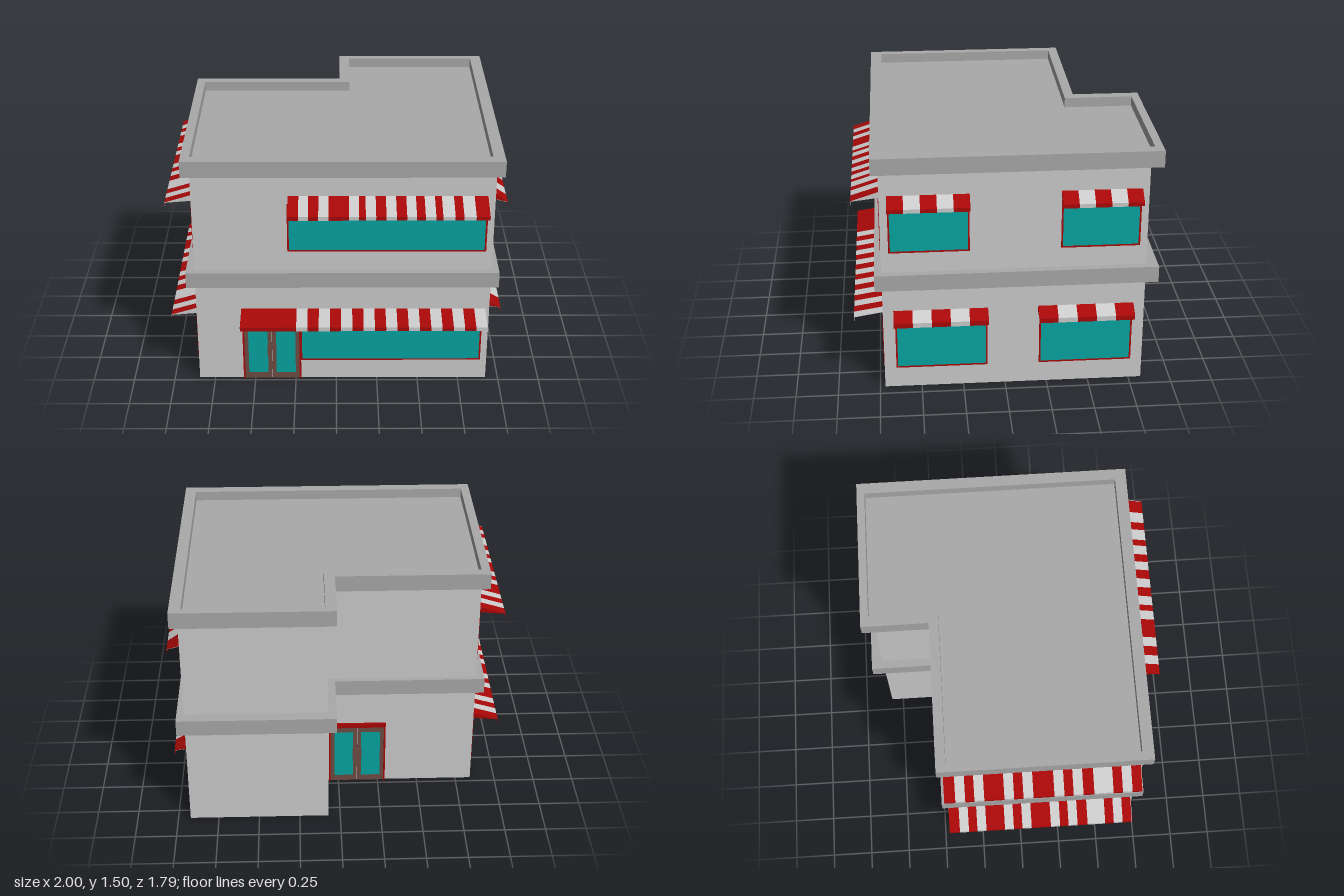
import * as THREE from 'three';
import { mergeGeometries } from 'three/addons/utils/BufferGeometryUtils.js';

const mat = (color, side = THREE.FrontSide) => new THREE.MeshStandardMaterial({ color, side });
const GREY = mat(0xcccccc);
const WALL = mat(0xcccccc, THREE.DoubleSide);
const STONE = mat(0xa9a9a9);
const RED = mat(0xa90808);
const GLASS = mat(0x06a5a2);
const BROWN = mat(0x6e4c44);

// Wall footprint, counter-clockwise seen from above, as [x, z]
const FOOTPRINT = [[-0.846, 0.72], [0.924, 0.72], [0.924, -0.826], [0.072, -0.826], [0.072, -0.463], [-0.846, -0.463]];
const CORNICE = [[-0.896, 0.762], [0.968, 0.762], [0.968, -0.896], [0.022, -0.896], [0.022, -0.492], [-0.896, -0.492]];
const ROOF = [[-0.843, 0.693], [0.899, 0.693], [0.899, -0.848], [0.087, -0.848], [0.087, -0.434], [-0.843, -0.434]];

const points = (outline) => outline.map(([x, z]) => new THREE.Vector2(x, -z));

function mesh(name, geometry, material) {
  const m = new THREE.Mesh(geometry, material);
  m.name = name;
  return m;
}

// Horizontal slab between two heights, optionally with a hole
function slab(name, outline, y0, y1, hole) {
  const shape = new THREE.Shape(points(outline));
  if (hole) shape.holes.push(new THREE.Path(points(hole)));
  const g = new THREE.ExtrudeGeometry(shape, { depth: y1 - y0, bevelEnabled: false });
  g.rotateX(-Math.PI / 2).translate(0, y0, 0);
  return mesh(name, g, STONE);
}

// Box given by its limits
function block(x0, x1, y0, y1, z0, z1) {
  return new THREE.BoxGeometry(x1 - x0, y1 - y0, z1 - z0)
    .translate((x0 + x1) / 2, (y0 + y1) / 2, (z0 + z1) / 2);
}

// Rectangular frame of four bars
function frame(x0, x1, y0, y1, w, depth) {
  return mergeGeometries([
    block(x0, x0 + w, y0, y1, -depth, depth),
    block(x1 - w, x1, y0, y1, -depth, depth),
    block(x0 + w, x1 - w, y0, y0 + w, -depth, depth),
    block(x0 + w, x1 - w, y1 - w, y1, -depth, depth),
  ]);
}

function shopWindow(x0, x1, y0, y1) {
  const g = new THREE.Group();
  g.name = 'window';
  g.add(mesh('windowFrame', frame(x0, x1, y0, y1, 0.01, 0.004), RED));
  g.add(mesh('windowPane', block(x0 + 0.01, x1 - 0.01, y0 + 0.01, y1 - 0.01, -0.003, 0.003), GLASS));
  return g;
}

function doubleDoor(cx) {
  const g = new THREE.Group();
  g.name = 'door';
  const h = 0.178;
  g.add(mesh('doorSurround', mergeGeometries([
    block(cx - h, cx - h + 0.01, 0, 0.44, -0.005, 0.013),
    block(cx + h - 0.01, cx + h, 0, 0.44, -0.005, 0.013),
    block(cx - h + 0.01, cx + h - 0.01, 0.41, 0.44, -0.005, 0.013),
  ]), RED));
  for (const s of [-1, 1]) {
    const [x0, x1] = s < 0 ? [cx - h + 0.01, cx - 0.001] : [cx + 0.001, cx + h - 0.01];
    g.add(mesh('doorLeaf', frame(x0, x1, 0, 0.41, 0.024, 0.004), BROWN));
    g.add(mesh('doorRails', mergeGeometries([
      block(x0 + 0.024, x1 - 0.024, 0.024, 0.04, -0.004, 0.004),
      block(x0 + 0.024, x1 - 0.024, 0.372, 0.386, -0.004, 0.004),
    ]), BROWN));
    g.add(mesh('doorGlass', block(x0 + 0.024, x1 - 0.024, 0.04, 0.372, -0.003, 0.003), GLASS));
    g.add(mesh('doorHandle', block(cx + s * 0.015 - 0.013, cx + s * 0.015 + 0.013, 0.17, 0.245, 0.004, 0.01), BROWN));
  }
  return g;
}

// Extrudes a cross-section of [outward, y] points along a wall from x0 to x1
function alongWall(section, x0, x1) {
  const shape = new THREE.Shape(section.map(([u, y]) => new THREE.Vector2(u, y)));
  return new THREE.ExtrudeGeometry(shape, { depth: x1 - x0, bevelEnabled: false })
    .rotateY(-Math.PI / 2).translate(x1, 0, 0);
}

// Striped awning: edges alternate red, grey, red...; a wedge with a thin valance
function awning(edges, { top, mid, bottom, reach, thick, lined }) {
  const section = [
    [0, top - thick], [reach - 0.002, mid - 0.001], [reach - 0.002, bottom], [reach, bottom], [reach, mid], [0, top],
  ];
  const stripes = [[], []];
  for (let i = 0; i + 1 < edges.length; i++) stripes[i % 2].push(alongWall(section, edges[i], edges[i + 1]));
  const group = new THREE.Group();
  group.name = 'awning';
  group.add(mesh('redStripes', mergeGeometries(stripes[0]), RED));
  group.add(mesh('paleStripes', mergeGeometries(stripes[1]), GREY));
  if (lined) {
    const lining = [[0, top - thick - 0.002], [reach - 0.003, mid - 0.003], [reach - 0.003, mid - 0.001], [0, top - thick]];
    group.add(mesh('lining', alongWall(lining, edges[0], edges[edges.length - 1]), GREY));
  }
  return group;
}

const evenEdges = (a, b, n) => Array.from({ length: n + 1 }, (_, i) => a + ((b - a) * i) / n);

// Group whose local x runs along a wall and local z points outwards
function facade(name, x, z, angle) {
  const g = new THREE.Group();
  g.name = name;
  g.position.set(x, 0, z);
  g.rotation.y = angle;
  return g;
}

export function createModel() {
  const model = new THREE.Group();
  model.name = 'cornerShop';

  // Outer walls, open underneath
  FOOTPRINT.forEach(([x0, z0], i) => {
    const [x1, z1] = FOOTPRINT[(i + 1) % FOOTPRINT.length];
    const wall = mesh('wall', new THREE.PlaneGeometry(Math.hypot(x1 - x0, z1 - z0), 1.41), WALL);
    wall.position.set((x0 + x1) / 2, 0.705, (z0 + z1) / 2);
    wall.rotation.y = Math.atan2(-(z1 - z0), x1 - x0);
    model.add(wall);
  });

  // Floor band, parapet and sunken roof
  model.add(slab('floorBand', CORNICE, 0.67, 0.77));
  model.add(slab('parapet', CORNICE, 1.4, 1.5, ROOF));
  model.add(slab('roof', ROOF, 1.4, 1.44));

  // Front; the last narrow stripe of the upper awning is its pale end panel
  const front = facade('front', 0, 0.72, 0);
  front.add(shopWindow(-0.29, 0.885, 0.895, 1.21), shopWindow(-0.22, 0.885, 0.13, 0.44), doubleDoor(-0.395));
  front.add(awning(
    [-0.282, -0.22, -0.163, -0.104, -0.045, 0.072, 0.13, 0.168, 0.227, 0.286, 0.345, 0.404, 0.46, 0.51, 0.57, 0.61, 0.68, 0.73, 0.8, 0.88, 0.883],
    { top: 1.262, mid: 1.21, bottom: 1.185, reach: 0.16, thick: 0.035 }));
  front.add(awning([-0.575, ...evenEdges(-0.24, 0.9, 17)],
    { top: 0.498, mid: 0.47, bottom: 0.445, reach: 0.17, thick: 0.001 }));
  model.add(front);

  // Left side: two windows per floor
  const left = facade('leftSide', 0.924, 0, Math.PI / 2);
  for (const [a, b] of [[-0.675, -0.206], [0.323, 0.784]]) {
    left.add(shopWindow(a, b, 0.895, 1.2));
    left.add(awning(evenEdges(a - 0.002, b + 0.002, 5),
      { top: 1.255, mid: 1.202, bottom: 1.178, reach: 0.076, thick: 0.035, lined: true }));
  }
  for (const [a, b] of [[-0.65, -0.105], [0.203, 0.758]]) {
    left.add(shopWindow(a, b, 0.13, 0.44));
    left.add(awning(evenEdges(a - 0.008, b + 0.004, 5),
      { top: 0.515, mid: 0.47, bottom: 0.44, reach: 0.076, thick: 0.035, lined: true }));
  }
  model.add(left);

  // Right side: one long window per floor, awnings ending in a pale panel
  const right = facade('rightSide', -0.846, 0, -Math.PI / 2);
  const stripes = [-0.46, -0.395, -0.337, -0.283, -0.225, -0.107, -0.05, 0.005, 0.064, 0.187, 0.246, 0.3, 0.358, 0.422, 0.535, 0.59, 0.647, 0.705, 0.708];
  for (const [base, top] of [[0.13, 0.44], [0.895, 1.205]]) {
    right.add(shopWindow(-0.45, 0.7, base, top));
    right.add(awning(stripes, { top: top + 0.055, mid: top + 0.008, bottom: top - 0.015, reach: 0.154, thick: 0.035 }));
  }
  model.add(right);

  // Back door in the recess
  const back = facade('back', 0, -0.463, Math.PI);
  back.add(doubleDoor(0.118));
  model.add(back);

  return model;
}
